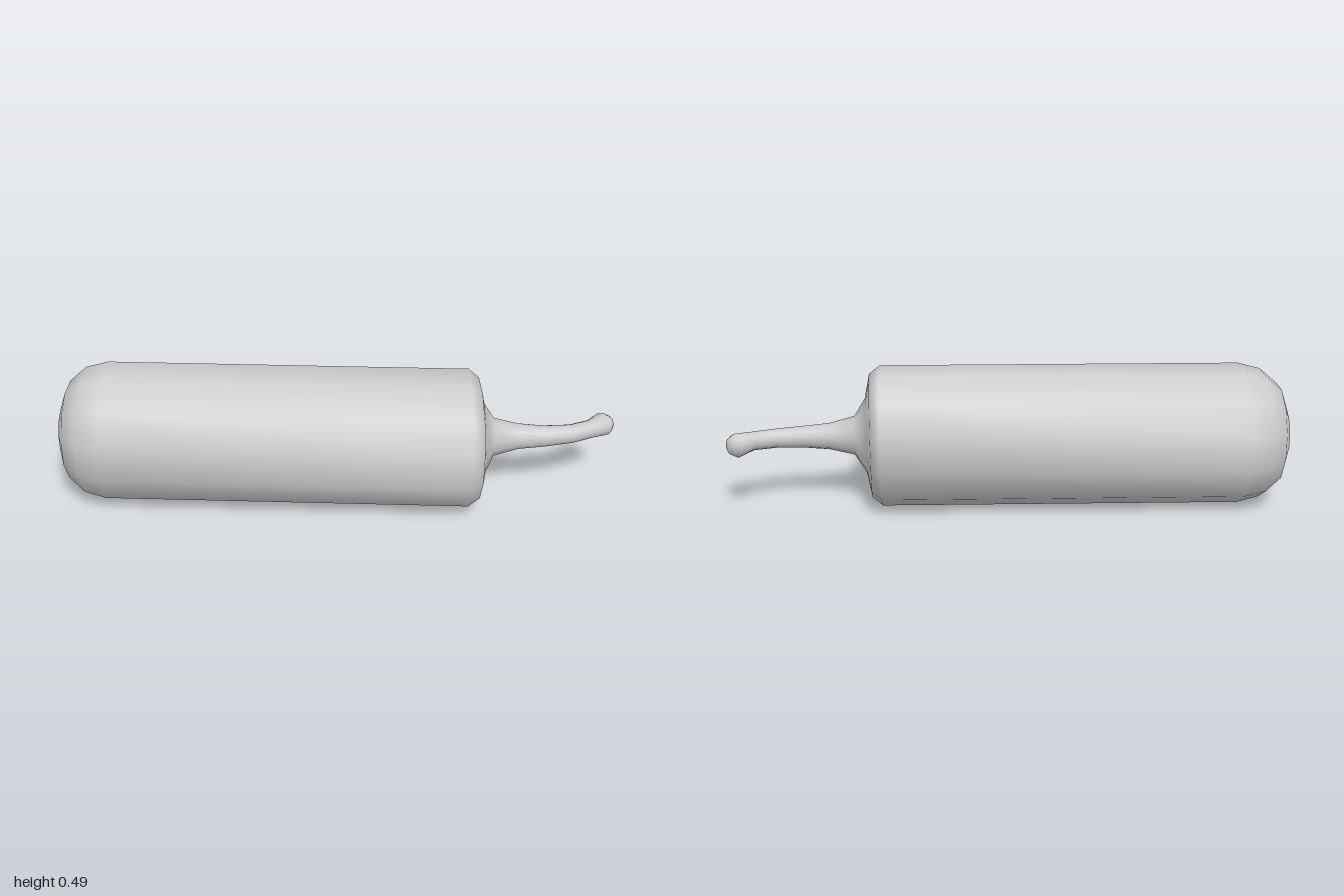
import * as THREE from 'three';
import { mergeVertices } from 'three/addons/utils/BufferGeometryUtils.js';

const SIDES = 12;
const CY = 0.244;

// Cross-sections along the axis: [x, y offset, z, radius, yaw towards -z]
const bodyRings = [
  [-1.0, 0, 0, 0, 0],
  [-0.99, 0, 0, 0.095, 0],
  [-0.96, 0, 0, 0.18, 0],
  [-0.9, 0, 0, 0.232, 0],
  [-0.82, 0, 0, 0.2525, 0],
  [0.465, 0, 0, 0.2525, 0.04],
  [0.503, 0, 0, 0.222, 0.065],
  [0.52, 0, 0, 0.135, 0.08],
];
const stemRings = [
  [0.56, 0.003, -0.002, 0.07, 0.03],
  [0.65, 0.003, -0.009, 0.047, 0.03],
  [0.74, 0.003, -0.013, 0.039, 0.1],
  [0.84, 0.004, -0.031, 0.034, 0.28],
  [0.915, 0.006, -0.064, 0.033, 0.5],
  [0.967, 0.003, -0.106, 0.043, 0.72],
  [0.985, 0.003, -0.119, 0.028, 0.72],
  [0.991, 0.003, -0.124, 0, 0.72],
];

// Skins a row of rings; a ring of radius 0 closes an end.
function loft(rings) {
  const positions = [];
  const index = [];
  for (const [x, y, z, r, yaw] of rings) {
    for (let j = 0; j < SIDES; j++) {
      const a = ((j + 0.5) / SIDES) * Math.PI * 2;
      const h = r * Math.cos(a);
      positions.push(x + h * Math.sin(yaw), CY + y + r * Math.sin(a), z + h * Math.cos(yaw));
    }
  }
  for (let i = 0; i < rings.length - 1; i++) {
    for (let j = 0; j < SIDES; j++) {
      const k = (j + 1) % SIDES;
      const a = i * SIDES + j, b = i * SIDES + k;
      const c = a + SIDES, d = b + SIDES;
      index.push(a, c, b, b, c, d);
    }
  }
  const geometry = new THREE.BufferGeometry();
  geometry.setAttribute('position', new THREE.Float32BufferAttribute(positions, 3));
  geometry.setIndex(index);
  const merged = mergeVertices(geometry, 1e-5);
  merged.computeVertexNormals();
  return merged;
}

// A run of the skin that keeps the shared smooth normals across the joint
function section(skin, from, to) {
  const geometry = new THREE.BufferGeometry();
  geometry.setAttribute('position', skin.getAttribute('position'));
  geometry.setAttribute('normal', skin.getAttribute('normal'));
  geometry.setIndex(Array.from(skin.index.array).slice(from, to));
  return geometry;
}

export function createModel() {
  const group = new THREE.Group();
  const material = new THREE.MeshStandardMaterial({ color: 0xcccccc });
  const skin = loft([...bodyRings, ...stemRings]);
  const split = (bodyRings.length - 1) * SIDES * 6;

  // Rounded cylindrical body lying along x
  const body = new THREE.Mesh(section(skin, 0, split), material);
  body.name = 'body';

  // Curved stem flaring out of the shoulder, with a knobbed tip
  const stem = new THREE.Mesh(section(skin, split, skin.index.count), material);
  stem.name = 'stem';

  group.add(body, stem);
  return group;
}
